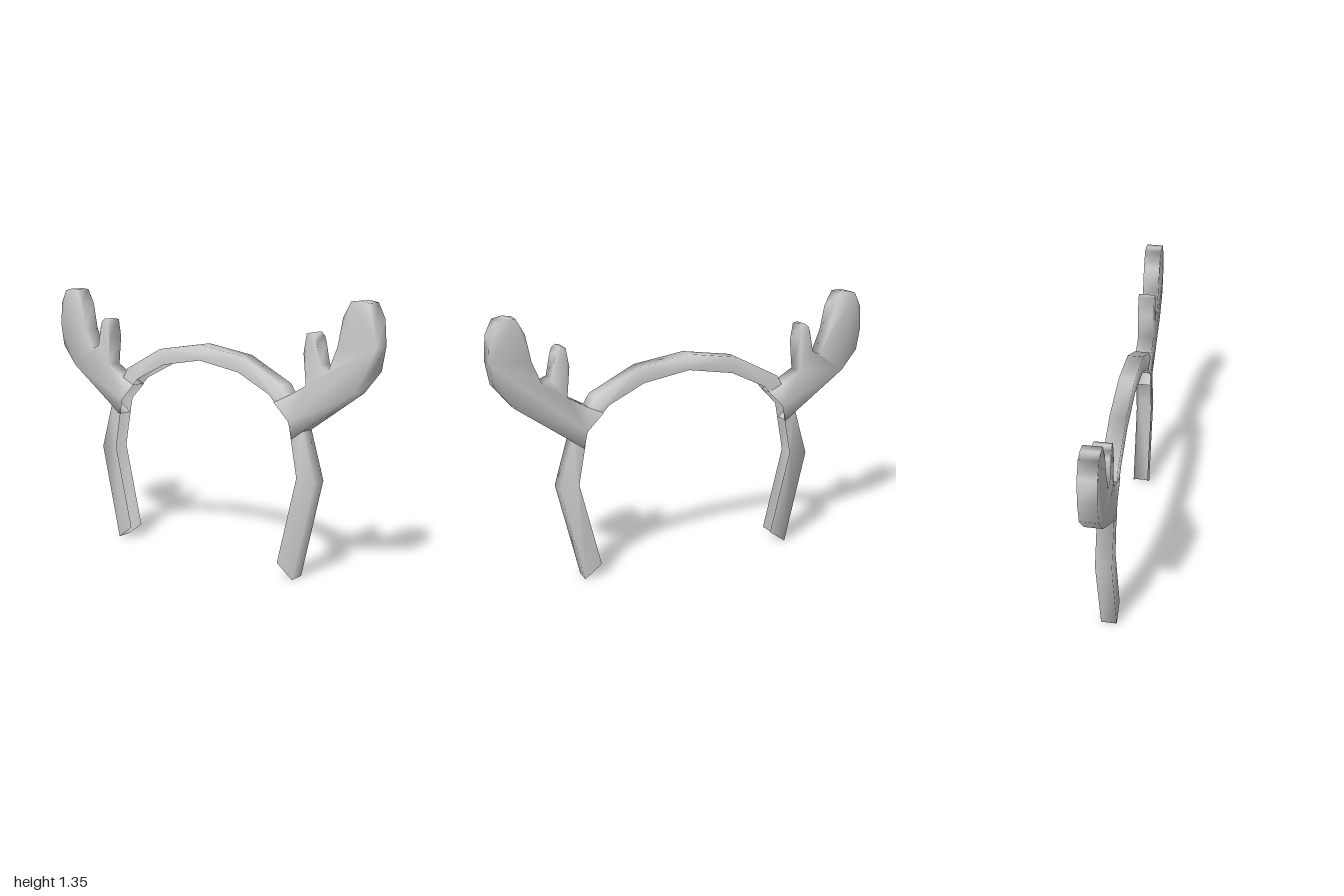
import * as THREE from 'three';

const material = new THREE.MeshStandardMaterial({ color: 0xcccccc, side: THREE.DoubleSide });

// Flat front and back joined by a smooth-shaded wall along the first wallCount
// edges of a counter-clockwise outline; the remaining edges stay open.
function shell(name, outline, wallCount, halfDepth) {
  const n = outline.length;
  const points = outline.map(([x, y]) => new THREE.Vector2(x, y));
  const positions = [];
  for (const z of [halfDepth, -halfDepth]) {
    for (const p of points) positions.push(p.x, p.y, z);
  }
  const index = [];
  for (const [a, b, c] of THREE.ShapeUtils.triangulateShape(points, [])) {
    index.push(a, b, c, n + a, n + c, n + b);
  }
  for (let i = 0; i < wallCount; i++) {
    const j = i + 1;
    index.push(i, n + i, n + j, i, n + j, j);
  }
  const geometry = new THREE.BufferGeometry();
  geometry.setAttribute('position', new THREE.Float32BufferAttribute(positions, 3));
  geometry.setIndex(index);
  geometry.computeVertexNormals();
  const mesh = new THREE.Mesh(geometry, material);
  mesh.name = name;
  return mesh;
}

// Mirror an outline across x = 0, keeping it counter-clockwise
const mirror = (pts) => pts.map(([x, y]) => [-x, y]).reverse();

export function createModel() {
  const model = new THREE.Group();
  model.name = 'antlerHeadband';

  // Headband: a channel open on the inside of the arch and at both ends
  const outerHalf = [[0.575, 0], [0.69, 0.495], [0.61, 0.76], [0.5, 0.94], [0.265, 1.06]];
  const innerHalf = [[0.485, 0.067], [0.59, 0.505], [0.54, 0.77], [0.425, 0.89], [0.24, 0.98]];
  const outer = [...outerHalf, [0, 1.1], ...mirror(outerHalf)];
  const inner = [...innerHalf, [0, 1.02], ...mirror(innerHalf)];
  model.add(shell('headband', [...outer, ...inner.reverse()], outer.length - 1, 0.04));

  // Antlers: main palm with a small inner prong, open where they clasp the band
  const antler = [
    [0.56, 0.69], [0.895, 0.93], [0.98, 1.035], [1, 1.15], [0.99, 1.27], [0.955, 1.34],
    [0.91, 1.35], [0.865, 1.345], [0.825, 1.27], [0.8, 1.14], [0.755, 1.03], [0.71, 1.05],
    [0.69, 1.15], [0.68, 1.18], [0.66, 1.197], [0.635, 1.19], [0.62, 1.1], [0.635, 0.95],
    [0.53, 0.89], [0.455, 0.855],
  ];
  const clasp = [[0.54, 0.77]];
  model.add(shell('leftAntler', [...antler, ...clasp], antler.length - 1, 0.042));
  model.add(shell('rightAntler', [...mirror(antler), ...mirror(clasp)], antler.length - 1, 0.042));

  return model;
}
